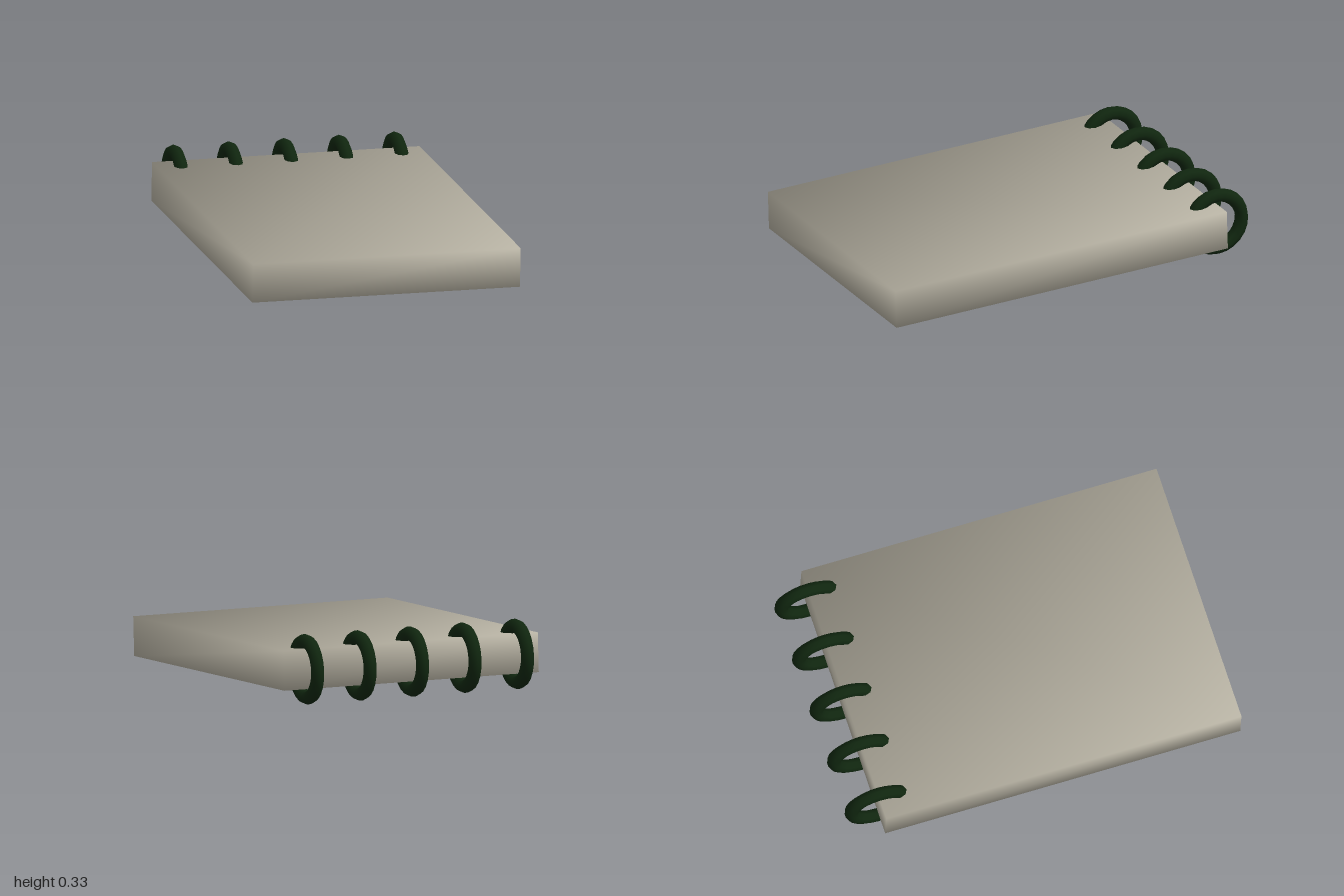
import * as THREE from 'three';

const WIDTH = 1.27, THICK = 0.183, DEPTH = 1.705;

export function createModel() {
  const paper = new THREE.MeshStandardMaterial({ color: 0xb8b3a4 });
  paper.name = 'warm grey paper';
  const wire = new THREE.MeshStandardMaterial({ color: 0x10260f });
  wire.name = 'dark green wire';

  const model = new THREE.Group();
  model.name = 'notepad';

  // Whole pad lies slightly tilted and turned
  const pad = new THREE.Group();
  pad.name = 'tiltedPad';
  pad.rotation.set(0.036, -0.1125, -0.0105, 'YXZ');
  pad.position.set(-0.002, 0.137, 0.07);
  model.add(pad);

  // Page block: a plain box whose corner normals point diagonally outward
  const block = new THREE.BoxGeometry(WIDTH, THICK, DEPTH);
  const pos = block.attributes.position;
  const s = 1 / Math.sqrt(3);
  for (let i = 0; i < pos.count; i++) {
    block.attributes.normal.setXYZ(i,
      s * Math.sign(pos.getX(i)), s * Math.sign(pos.getY(i)), s * Math.sign(pos.getZ(i)));
  }
  const pages = new THREE.Mesh(block, paper);
  pages.name = 'pageBlock';
  pad.add(pages);

  // Binding rings, threaded around the back edge
  const ringGeometry = new THREE.TorusGeometry(0.13, 0.032, 8, 24);
  ringGeometry.rotateY(Math.PI / 2);
  for (let k = -2; k <= 2; k++) {
    const ring = new THREE.Mesh(ringGeometry, wire);
    ring.name = 'bindingRing' + (k + 3);
    ring.position.set(k * 0.262, 0, -DEPTH / 2);
    pad.add(ring);
  }

  return model;
}
